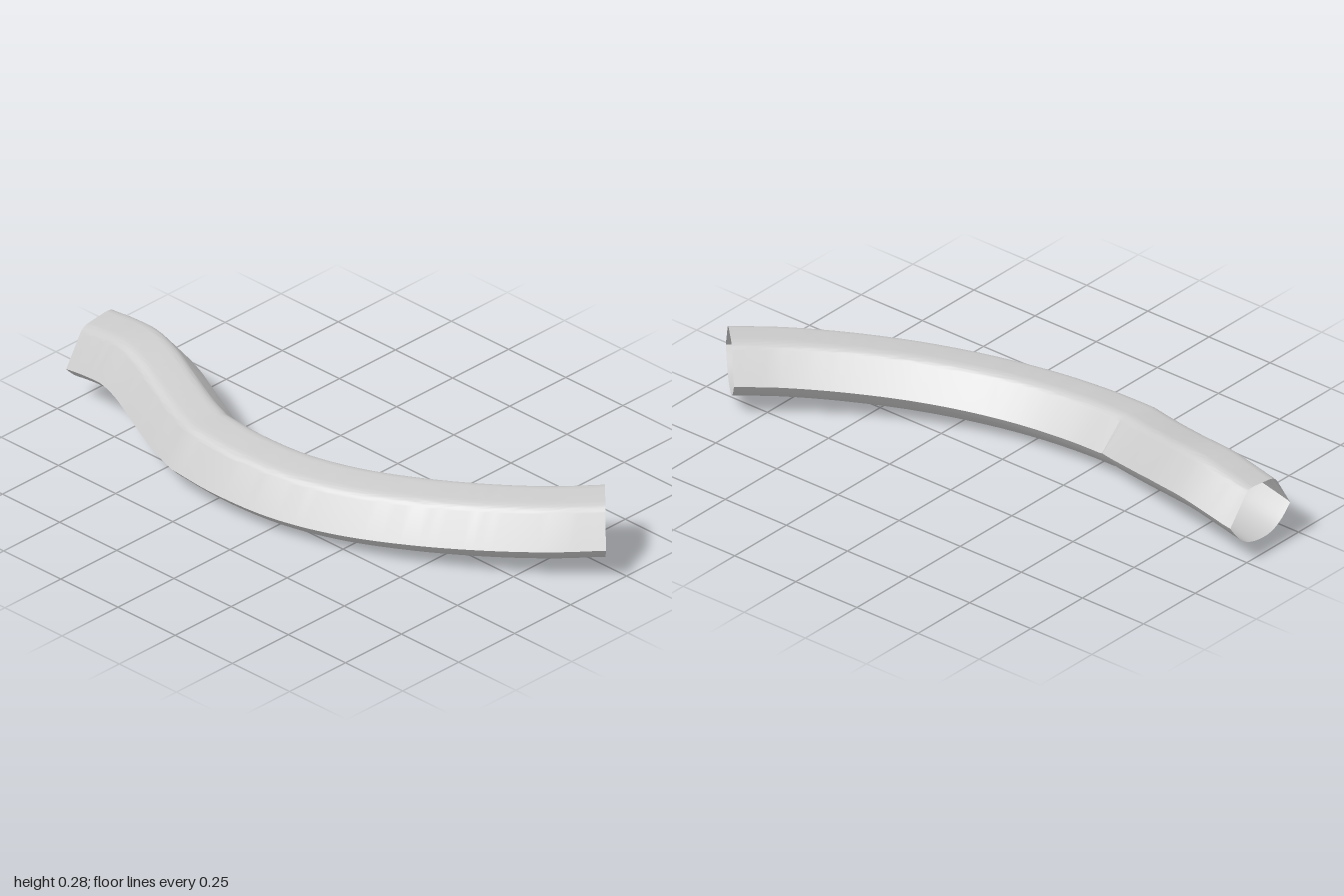
import * as THREE from 'three';
import { toCreasedNormals } from 'three/addons/utils/BufferGeometryUtils.js';

const curve = (pts) => new THREE.CatmullRomCurve3(pts.map((p) => new THREE.Vector3(...p)));

// Cross-section: narrow flat top, sharp side edges, rounded belly
function sectionPoints() {
  const s = new THREE.Path();
  s.moveTo(0.146, 0);
  s.lineTo(0.078, 0.096);
  s.quadraticCurveTo(0.064, 0.115, 0.035, 0.115);
  s.lineTo(-0.035, 0.115);
  s.quadraticCurveTo(-0.064, 0.115, -0.078, 0.096);
  s.lineTo(-0.146, 0);
  s.bezierCurveTo(-0.1, -0.057, -0.07, -0.083, 0, -0.083);
  s.bezierCurveTo(0.07, -0.083, 0.1, -0.057, 0.146, 0);
  return s.getPoints(10);
}

// Centre line: a rear bend and a long front sweep meeting in a slight kink
function centreLine() {
  const rear = curve([
    [-0.065, 0.143, -1], [-0.073, 0.158, -0.9], [-0.086, 0.167, -0.8],
    [-0.11, 0.156, -0.7], [-0.145, 0.135, -0.6], [-0.195, 0.108, -0.46], [-0.225, 0.097, -0.36],
  ]);
  const front = curve([
    [-0.225, 0.097, -0.36], [-0.23, 0.09, -0.2], [-0.212, 0.086, 0], [-0.16, 0.09, 0.2],
    [-0.075, 0.1, 0.4], [0.04, 0.111, 0.6], [0.16, 0.121, 0.765], [0.272, 0.129, 0.885],
  ]);
  return [...rear.getSpacedPoints(28), ...front.getSpacedPoints(50).slice(1)];
}

function sweep(path, section) {
  const pos = [], index = [], n = section.length, last = path.length - 1;
  path.forEach((p, i) => {
    // Rings stay upright; they turn with the path and lean slightly
    const t = path[Math.min(i + 1, last)].clone().sub(path[Math.max(i - 1, 0)]).setY(0).normalize();
    if (i === 0) t.set(0, 0, 1);
    if (i === last) t.set(0.71, 0, 0.704);
    const roll = THREE.MathUtils.lerp(0.11, 0.05, THREE.MathUtils.smoothstep(p.z, 0, 0.9));
    const c = Math.cos(roll), s = Math.sin(roll);
    section.forEach(({ x, y }) => {
      const u = x * c - y * s * 0.5, v = y + x * s;
      pos.push(p.x + t.z * u, p.y + v, p.z - t.x * u);
    });
    if (i === last) return;
    for (let j = 0; j < n - 1; j++) {
      const a = i * n + j, b = a + n;
      index.push(a, a + 1, b, a + 1, b + 1, b);
    }
  });
  const g = new THREE.BufferGeometry();
  g.setAttribute('position', new THREE.Float32BufferAttribute(pos, 3));
  g.setIndex(index);
  return toCreasedNormals(g, 0.3);
}

export function createModel() {
  const group = new THREE.Group();
  group.name = 'curvedDuct';
  // Open-ended thin shell
  const shell = new THREE.Mesh(
    sweep(centreLine(), sectionPoints()),
    new THREE.MeshStandardMaterial({ color: 0xcccccc, side: THREE.DoubleSide }),
  );
  shell.name = 'ductShell';
  group.add(shell);
  return group;
}
